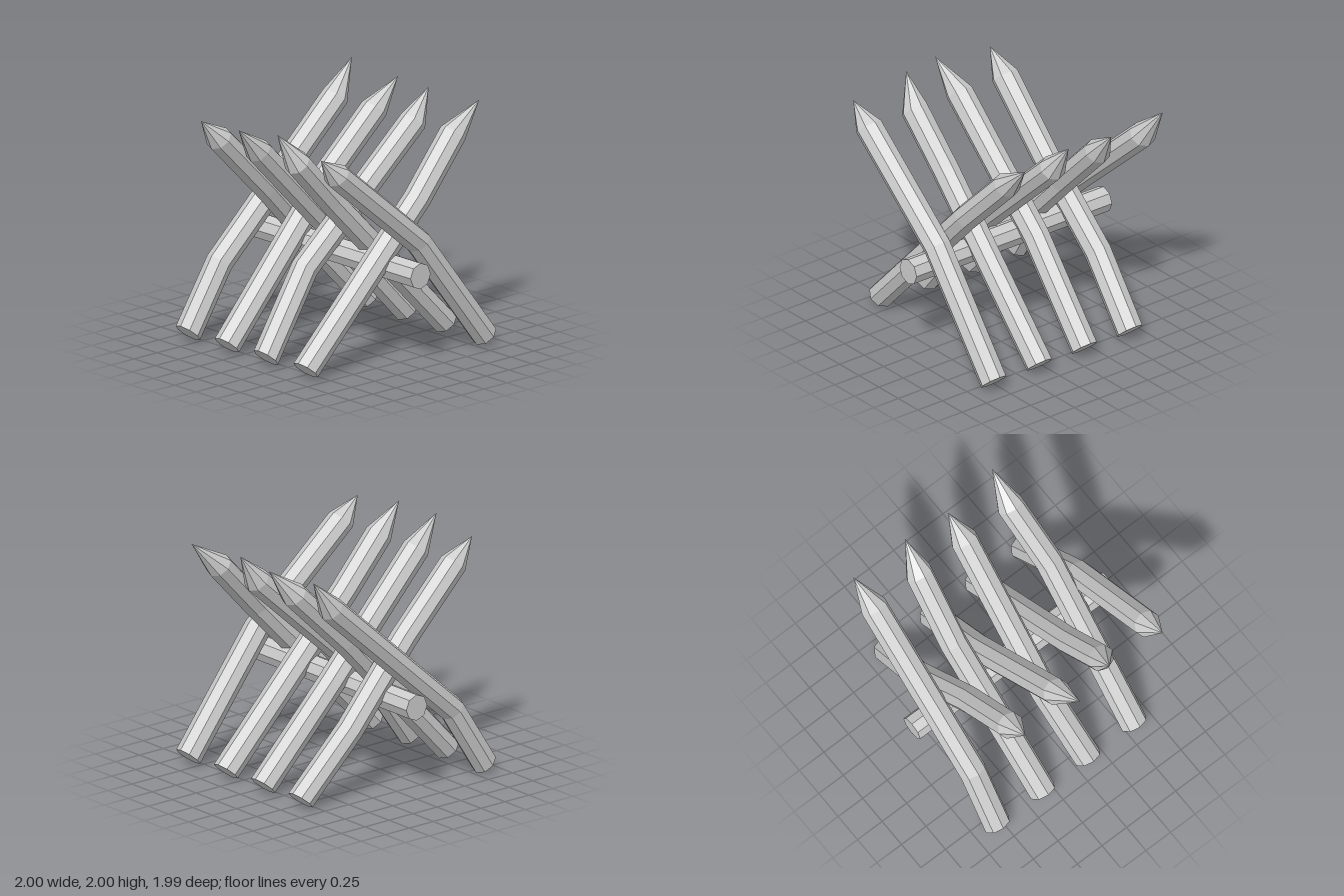
import * as THREE from 'three';

const SIDES = 8;
const material = new THREE.MeshStandardMaterial({ color: 0xcccccc, flatShading: true });

// Sharpened octagonal log: parallel rings through the given centres, closed by a point.
// lean is +1 when the log rises towards the front, -1 towards the back.
function stakeGeometry(centres, tip, lean) {
  const positions = [];
  const index = [];
  for (const [x, y, z] of centres) {
    for (let k = 0; k < SIDES; k++) {
      const a = lean * k * Math.PI * 2 / SIDES;
      const t = 0.108 * Math.sin(a);
      positions.push(x + 0.115 * Math.cos(a), y + 0.67 * t, z - lean * 0.74 * t);
    }
  }
  const tipIndex = centres.length * SIDES;
  positions.push(...tip);
  positions.push(...centres[0]);
  for (let k = 0; k < SIDES; k++) {
    const n = (k + 1) % SIDES;
    for (let r = 0; r < centres.length - 1; r++) {
      const lo = r * SIDES;
      const hi = lo + SIDES;
      index.push(lo + k, lo + n, hi + n, lo + k, hi + n, hi + k);
    }
    const last = tipIndex - SIDES;
    index.push(last + k, last + n, tipIndex); // pointed end
    index.push(n, k, tipIndex + 1); // sawn base
  }
  const geometry = new THREE.BufferGeometry();
  geometry.setAttribute('position', new THREE.Float32BufferAttribute(positions, 3));
  geometry.setIndex(index);
  geometry.computeVertexNormals();
  return geometry;
}

// Base x, bend centres and tip of each log, from right to left
const stakes = [
  { x: -0.81, bends: [[-0.8, 0.6, 0.53]], tip: [-0.845, 2, -0.95] },
  { x: -0.58, bends: [[-0.63, 0.58, -0.39], [-0.58, 1.21, 0.22]], tip: [-0.58, 1.91, 0.93] },
  { x: -0.35, bends: [[-0.39, 1.24, -0.24]], tip: [-0.31, 1.96, -0.96] },
  { x: -0.115, bends: [[-0.155, 0.8, -0.19]], tip: [-0.07, 1.96, 0.99] },
  { x: 0.11, bends: [[0.045, 0.71, 0.38]], tip: [0.095, 1.97, -0.92] },
  { x: 0.345, bends: [[0.33, 1.33, 0.36]], tip: [0.295, 1.985, 0.905] },
  { x: 0.58, bends: [[0.63, 1.28, -0.3]], tip: [0.605, 1.96, -1] },
  { x: 0.813, bends: [[0.813, 1.0, -0.14]], tip: [0.825, 1.89, 0.92] },
];

export function createModel() {
  const model = new THREE.Group();
  model.name = 'stakeBarricade';

  // Crossed stakes, alternately leaning back and forward
  stakes.forEach(({ x, bends, tip }, i) => {
    const lean = i % 2 ? 1 : -1;
    const centres = [[x, 0.077, -lean * 0.86], ...bends, [x, 1.725, lean * 0.735]];
    const stake = new THREE.Mesh(stakeGeometry(centres, tip, lean), material);
    stake.name = (lean > 0 ? 'forwardStake' : 'backwardStake') + (Math.floor(i / 2) + 1);
    model.add(stake);
  });

  // Cross rail under the crossing
  const rail = new THREE.Mesh(new THREE.CylinderGeometry(0.109, 0.109, 2, SIDES), material);
  rail.name = 'crossRail';
  rail.rotation.z = Math.PI / 2;
  rail.position.y = 0.778;
  model.add(rail);

  return model;
}
